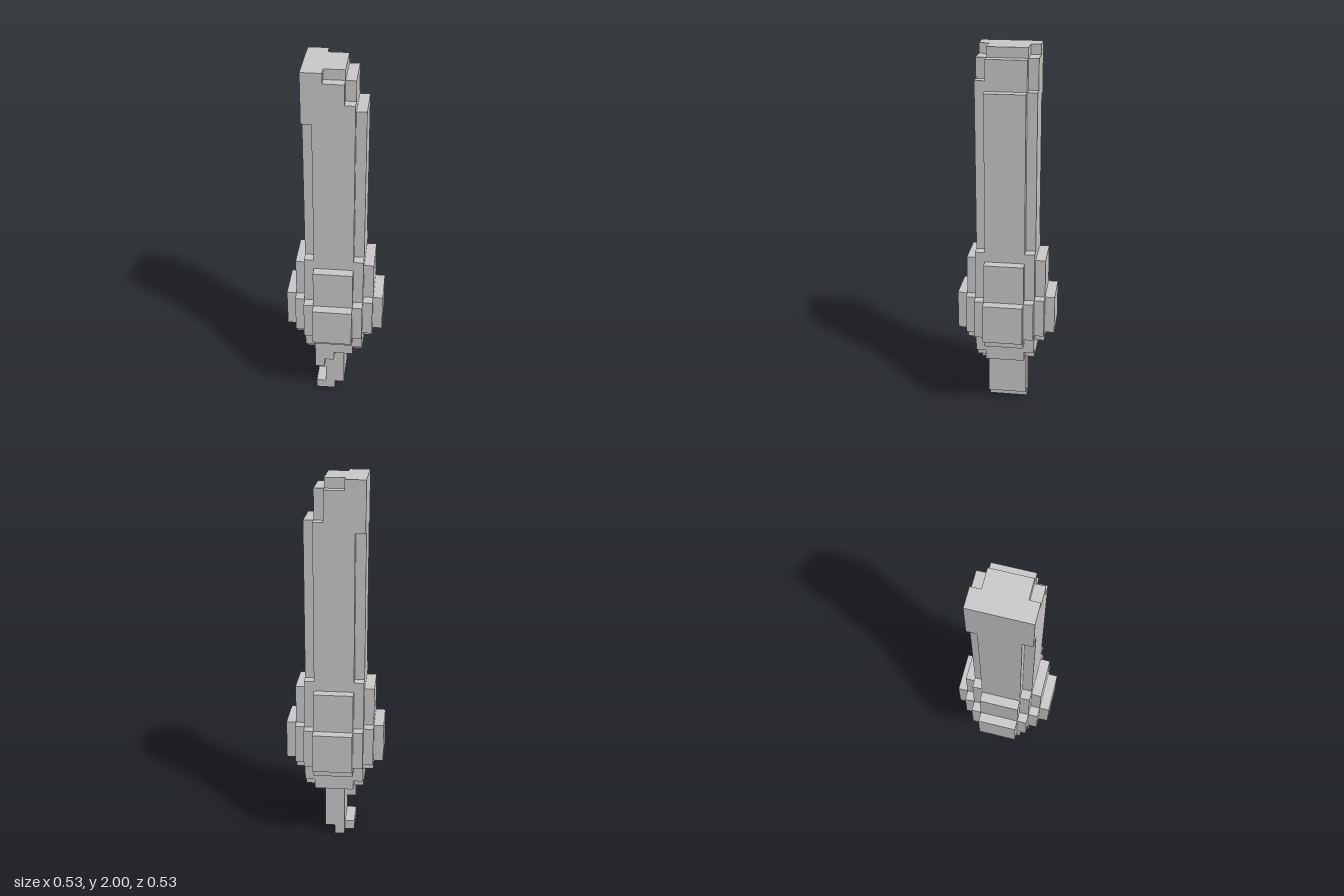
import * as THREE from 'three';

const U = 2 / 38; // edge of one block
const material = new THREE.MeshStandardMaterial({ color: 0xcccccc, flatShading: true });

// Box between two corners, given in block units
function block(parent, name, [x0, x1], [y0, y1], [z0, z1]) {
  const geometry = new THREE.BoxGeometry((x1 - x0) * U, (y1 - y0) * U, (z1 - z0) * U);
  const mesh = new THREE.Mesh(geometry, material);
  mesh.position.set((x0 + x1) * U / 2, (y0 + y1) * U / 2, (z0 + z1) * U / 2);
  mesh.name = name;
  parent.add(mesh);
}

function part(model, name) {
  const group = new THREE.Group();
  group.name = name;
  model.add(group);
  return group;
}

export function createModel() {
  const model = new THREE.Group();
  model.name = 'blockColumn';

  // Thin stem with a hook at the foot and a stepped overhang at the top
  const stem = part(model, 'stem');
  block(stem, 'stemCore', [-1, 1], [1, 6], [-2, 2]);
  block(stem, 'stemFoot', [-1, 0], [0, 1], [-2, 2]);
  block(stem, 'footHook', [-2, -1], [0, 1], [-1, 2]);
  block(stem, 'overhangTip', [-2, -1], [3, 6], [1, 2]);
  block(stem, 'overhangOuterStep', [-2, -1], [4, 6], [2, 3]);
  block(stem, 'overhangInnerStep', [-1, 0], [5, 6], [2, 3]);

  // Bulge: square core, cross-shaped underside and layered plates on four sides
  const bulge = part(model, 'bulge');
  block(bulge, 'bulgeCore', [-3, 3], [7, 18], [-3, 3]);
  block(bulge, 'undersideCentre', [-2, 2], [6, 7], [-3, 3]);
  for (const s of [-1, 1]) {
    const span = (a, b) => (s > 0 ? [a, b] : [-b, -a]);
    block(bulge, 'undersideSide', span(2, 3), [6, 7], [-2, 2]);
    const plates = [
      ['tallPlate', [3, 4], [8, 17], 2],
      ['widePlate', [3, 4], [9, 13], 3],
      ['outerPlate', [4, 5], [9, 13], 2],
    ];
    for (const [name, depth, height, half] of plates) {
      block(bulge, name, span(...depth), height, [-half, half]);
      block(bulge, name, [-half, half], height, span(...depth));
    }
  }

  // Long shaft with notched corners
  const shaft = part(model, 'shaft');
  block(shaft, 'shaftCore', [-2, 2], [18, 33], [-3, 3]);
  block(shaft, 'shaftLeftSide', [2, 3], [18, 34], [-2, 2]);
  block(shaft, 'shaftRightSide', [-3, -2], [18, 33], [-2, 2]);

  // Stepped tip: each strip drops towards the left side
  const tip = part(model, 'tip');
  block(tip, 'tipCentre', [-3, 1], [33, 38], [-2, 2]);
  block(tip, 'tipCentreStep', [1, 2], [33, 37], [-2, 2]);
  for (const [z, lowTop] of [[[2, 3], 35], [[-3, -2], 34]]) {
    block(tip, 'tipEdgeHigh', [-3, -1], [33, 38], z);
    block(tip, 'tipEdgeMiddle', [-1, 1], [33, 37], z);
    block(tip, 'tipEdgeLow', [1, 2], [33, lowTop], z);
  }

  return model;
}
